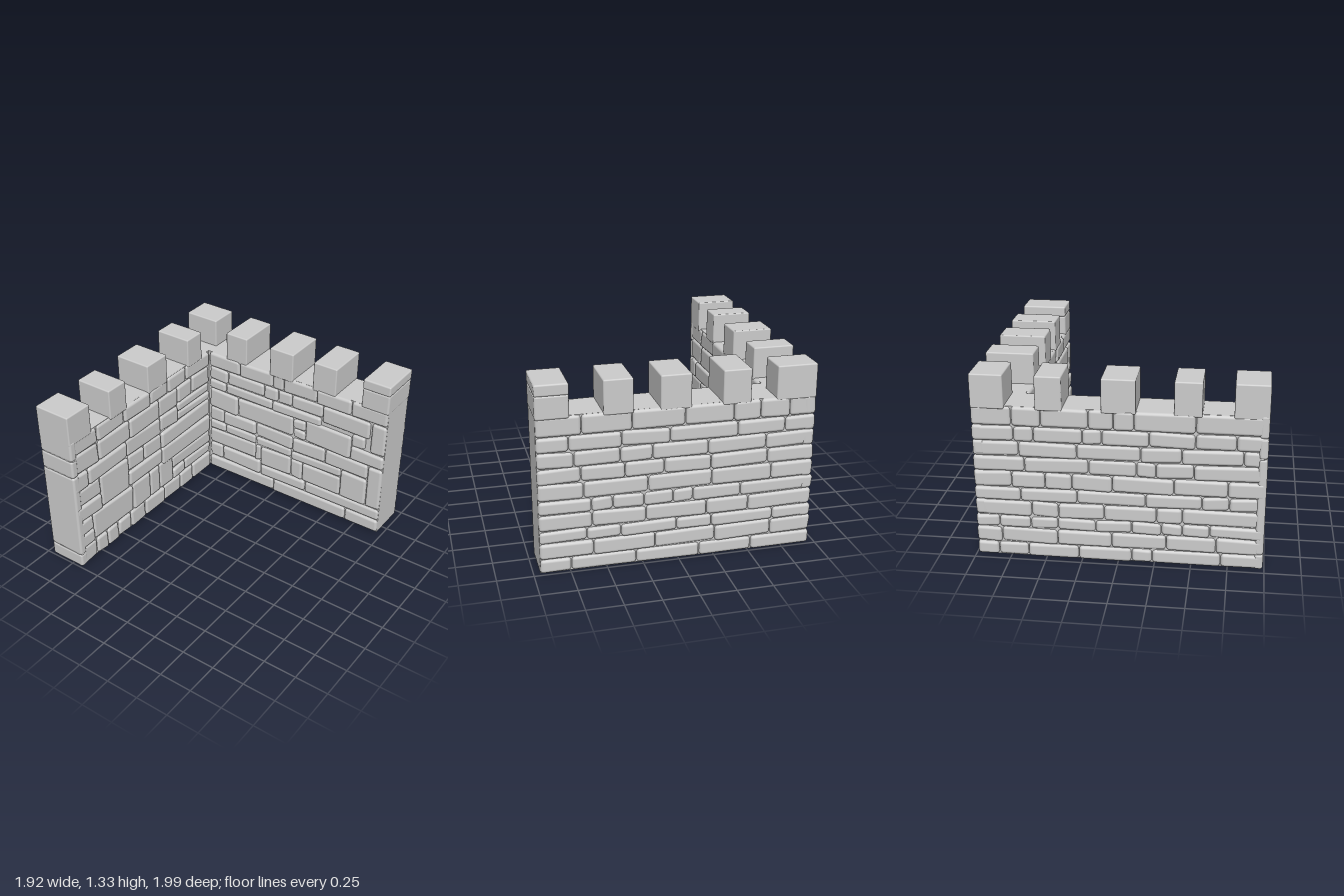
import * as THREE from 'three';
import { mergeGeometries } from 'three/addons/utils/BufferGeometryUtils.js';
import { RoundedBoxGeometry } from 'three/addons/geometries/RoundedBoxGeometry.js';

const X0 = -0.955, X1 = 0.955, XI = -0.655; // outer side, far end, inner side
const Z0 = -0.99, Z1 = 0.99, ZI = -0.645;   // outer back, far end, inner back
const TOP = 1.11, CREST = 1.33, GROOVE = 0.022;

// Rows of stones: [bottom, top, joint, joint, ...] measured along the wall
const backInner = [
  [0, 0.115, -0.66, -0.02, 0.66, 0.955],
  [0.115, 0.25, -0.66, -0.53, -0.15],
  [0.115, 0.215, -0.15, 0.28, 0.955],
  [0.215, 0.39, -0.15, 0.14, 0.25],
  [0.25, 0.39, -0.66, -0.2, -0.15],
  [0.215, 0.385, 0.25, 0.6],
  [0.215, 0.46, 0.6, 0.83],
  [0.215, 0.59, 0.83, 0.955],
  [0.39, 0.475, -0.66, -0.5, -0.2, 0.14],
  [0.385, 0.465, 0.14, 0.6],
  [0.475, 0.6, -0.66, -0.52, -0.2, 0.15],
  [0.465, 0.595, 0.15, 0.45, 0.83],
  [0.6, 0.775, -0.66, -0.38, 0.15],
  [0.6, 0.685, 0.15, 0.265],
  [0.685, 0.775, 0.15, 0.265],
  [0.6, 0.8, 0.265, 0.67],
  [0.595, 0.715, 0.67, 0.955],
  [0.715, 0.83, 0.67, 0.79],
  [0.715, 0.98, 0.83, 0.955],
  [0.775, 0.865, -0.66, -0.5, -0.05, 0.4],
  [0.865, 0.98, -0.66, -0.48, -0.13, 0, 0.13, 0.41],
  [0.83, 0.98, 0.41, 0.82],
  [0.98, TOP, -0.66, -0.36, -0.05, 0.05, 0.35, 0.65, 0.955]
];
const sideInner = [
  [0, 0.15, -0.985, -0.8, -0.68, -0.55, -0.4, -0.22, 0.02, 0.23, 0.4, 0.65],
  [0.15, 0.27, -0.985, -0.82],
  [0.27, 0.39, -0.985, -0.82],
  [0.15, 0.39, -0.82, -0.36, -0.15, -0.03, 0.14],
  [0.15, 0.25, 0.14, 0.3, 0.65],
  [0.25, 0.36, 0.14, 0.65],
  [0.39, 0.53, -0.985, -0.71],
  [0.53, 0.67, -0.985, -0.71],
  [0.39, 0.67, -0.71, -0.39],
  [0.39, 0.53, -0.39, 0.01],
  [0.53, 0.67, -0.39, -0.2, 0.01],
  [0.36, 0.52, 0.01, 0.65],
  [0.52, 0.67, 0.01, 0.65],
  [0.67, 0.815, -0.985, -0.83, -0.4, 0.01, 0.23],
  [0.67, 0.75, 0.23, 0.65],
  [0.75, 0.83, 0.23, 0.65],
  [0.815, 0.98, -0.985, -0.7, -0.35, 0, 0.23],
  [0.83, 0.98, 0.23, 0.42, 0.65],
  [0.98, TOP, -0.985, -0.7, -0.4, -0.1, 0.12, 0.35, 0.65]
];

let seed = 7;
function rand() {
  seed = (seed * 16807) % 2147483647;
  return seed / 2147483647;
}
const vary = (amount) => (rand() - 0.5) * 2 * amount;

// Outer faces share course heights so stones meet at the corner
const courses = [0, 0.1, 0.215, 0.305, 0.42, 0.52, 0.64, 0.75, 0.86, 0.97, TOP];
function outerRows(start, end) {
  const rows = [];
  for (let i = 0; i < courses.length - 1; i++) {
    const joints = [start];
    let u = start + 0.15 + rand() * 0.25;
    while (u < end - 0.14) {
      joints.push(u);
      u += 0.13 + rand() * 0.36;
    }
    joints.push(end);
    rows.push([courses[i], courses[i + 1], ...joints]);
  }
  return rows;
}

// One worn stone, its face near local z = 0
function stone(u0, u1, v0, v1) {
  const depth = 0.08, w = u1 - u0 - 0.004, h = v1 - v0 - 0.004;
  const g = new RoundedBoxGeometry(w, h, depth, 2, Math.min(0.022, h * 0.3, w * 0.3));
  const tiltU = vary(0.004), tiltV = vary(0.004), twist = vary(0.005), skew = vary(0.005);
  const p = g.attributes.position;
  for (let i = 0; i < p.count; i++) {
    const a = p.getX(i) / w * 2, b = p.getY(i) / h * 2;
    p.setZ(i, p.getZ(i) + tiltU * a + tiltV * b + twist * a * b);
    if (v0 > 0 && v1 < TOP) p.setY(i, p.getY(i) + skew * a);
  }
  g.translate((u0 + u1) / 2, (v0 + v1) / 2, -depth / 2 - 0.002 + vary(0.004));
  return g;
}

export function createModel() {
  const group = new THREE.Group();
  const material = new THREE.MeshStandardMaterial({ color: 0xcccccc });
  const add = (name, geometry) => {
    const mesh = new THREE.Mesh(geometry, material);
    mesh.name = name;
    group.add(mesh);
    return mesh;
  };

  // L-shaped core, set back from the stone faces to form the joints
  const core = new THREE.Shape([
    [X0 + GROOVE, -Z0 - GROOVE], [X0 + GROOVE, -Z1 + 0.008], [XI - GROOVE, -Z1 + 0.008],
    [XI - GROOVE, -ZI + GROOVE], [X1 - 0.002, -ZI + GROOVE], [X1 - 0.002, -Z0 - GROOVE]
  ].map(([x, y]) => new THREE.Vector2(x, y)));
  const coreGeometry = new THREE.ExtrudeGeometry(core, { depth: TOP - 0.002, bevelEnabled: false });
  add('wallCore', coreGeometry.rotateX(-Math.PI / 2));

  // Stone facing on each long side
  function facing(name, rows, turn, x, z) {
    const parts = [];
    for (const [v0, v1, ...joints] of rows) {
      for (let i = 0; i < joints.length - 1; i++) parts.push(stone(joints[i], joints[i + 1], v0, v1));
    }
    const mesh = add(name, mergeGeometries(parts));
    mesh.rotation.y = turn;
    mesh.position.set(x, 0, z);
  }
  facing('backWallInnerStones', backInner, 0, 0, ZI);
  facing('sideWallInnerStones', sideInner, Math.PI / 2, XI, 0);
  facing('backWallOuterStones', outerRows(-X1, -X0), Math.PI, 0, Z0);
  facing('sideWallOuterStones', outerRows(Z0, Z1 - 0.005), -Math.PI / 2, X0, 0);

  // Lightly rounded block between two corners
  function block(name, x0, x1, y0, y1, z0, z1, radius = 0.01) {
    const g = new RoundedBoxGeometry(x1 - x0, y1 - y0, z1 - z0, 2, radius);
    add(name, g.translate((x0 + x1) / 2, (y0 + y1) / 2, (z0 + z1) / 2));
  }

  // Large blocks closing the end of the side wall
  const ends = [0, 0.11, 0.815, 0.96, TOP + 0.01];
  for (let i = 0; i < ends.length - 1; i++) {
    block('sideWallEndBlock', X0, XI, ends[i], ends[i + 1], 0.93, Z1, 0.018);
  }

  // Battlements
  const base = TOP - 0.02;
  for (const [a, b] of [[-0.49, -0.295], [-0.08, 0.13], [0.31, 0.51]]) {
    block('backMerlon', a, b, base, CREST, Z0 + 0.003, ZI - 0.003);
  }
  block('backEndMerlonLower', 0.73, X1, base, 1.255, Z0 + 0.003, ZI - 0.003, 0.016);
  block('backEndMerlonUpper', 0.73, X1, 1.25, CREST, Z0 + 0.003, ZI - 0.003, 0.012);
  for (const [a, b] of [[-0.55, -0.37], [-0.11, 0.12], [0.37, 0.555], [0.76, Z1]]) {
    block('sideMerlon', X0 + 0.003, XI - 0.003, base, CREST, a, b);
  }
  block('cornerMerlon', X0 + 0.003, -0.67, base, CREST, Z0 + 0.003, -0.76);

  return group;
}
